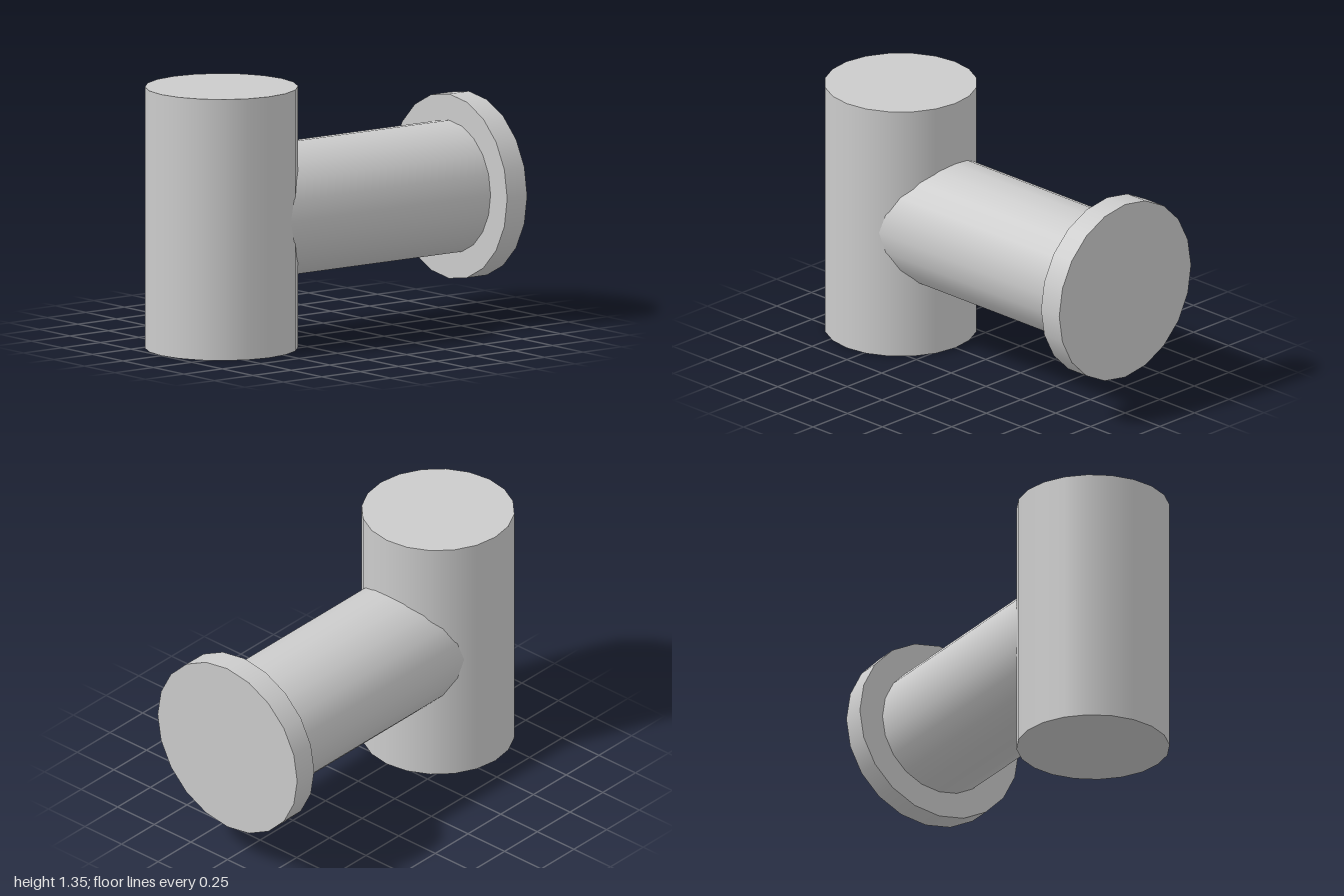
import * as THREE from 'three';

const SIDES = 20;
const AXIS_Y = 0.675; // height of the horizontal arm's axis

export function createModel() {
  const group = new THREE.Group();
  const material = new THREE.MeshStandardMaterial({ color: 0xcccccc });

  const addCylinder = (name, radius, length) => {
    const mesh = new THREE.Mesh(new THREE.CylinderGeometry(radius, radius, length, SIDES), material);
    mesh.name = name;
    group.add(mesh);
    return mesh;
  };

  // Cylinder lying along z, between two z positions
  const addLying = (name, radius, zBack, zFront) => {
    const mesh = addCylinder(name, radius, zFront - zBack);
    mesh.rotation.set(Math.PI / 2, Math.PI / 2, 0, 'YXZ');
    mesh.rotation.set(Math.PI / 2, 0, 0);
    mesh.geometry.rotateY(Math.PI / 2);
    mesh.position.set(0, AXIS_Y, (zBack + zFront) / 2);
  };

  // Upright body at the front
  addCylinder('uprightBody', 0.391, 1.35).position.set(0, 0.675, 0.609);

  // Horizontal arm running back from inside the body
  addLying('horizontalArm', 0.341, -0.87, 0.609);

  // Wide disc closing the arm at the back
  addLying('endFlange', 0.477, -1, -0.87);

  return group;
}
